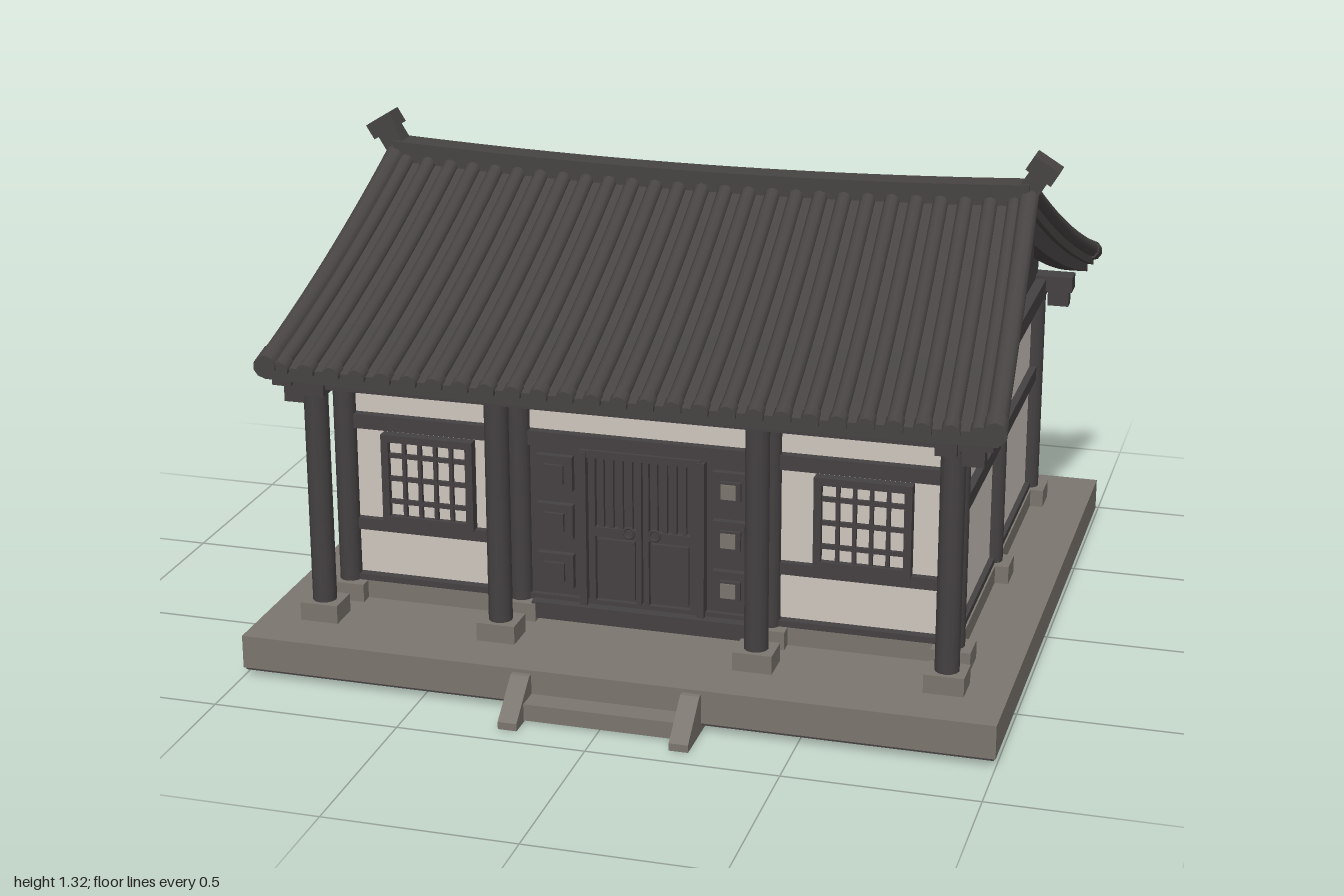
import * as THREE from 'three';

const mat = (name, color) => Object.assign(new THREE.MeshStandardMaterial({ color }), { name });

export function createModel() {
  const house = new THREE.Group();
  house.name = 'tiledHouse';
  const wood = mat('darkWood', 0x454142);
  const tile = mat('roofTile', 0x474443);
  const plaster = mat('plaster', 0xcfc6be);
  const stone = mat('stone', 0x7b766e);

  const add = (name, geo, material, parent = house) => {
    const m = new THREE.Mesh(geo, material);
    m.name = name;
    parent.add(m);
    return m;
  };
  // box given by its limits on each axis
  const box = (name, material, x0, x1, y0, y1, z0, z1, parent = house) => {
    const m = add(name, new THREE.BoxGeometry(x1 - x0, y1 - y0, z1 - z0), material, parent);
    m.position.set((x0 + x1) / 2, (y0 + y1) / 2, (z0 + z1) / 2);
    return m;
  };
  // side outline as [z, y] points, extruded across x
  const sidePlate = (name, material, points, x0, x1) => {
    const shape = new THREE.Shape(points.map(([z, y]) => new THREE.Vector2(z, y)));
    const geo = new THREE.ExtrudeGeometry(shape, { depth: x1 - x0, bevelEnabled: false });
    geo.rotateY(-Math.PI / 2).translate(x1, 0, 0);
    return add(name, geo, material);
  };

  // Platform and entrance step
  box('platform', stone, -1, 1, 0.025, 0.115, -0.93, 0.82);
  box('platformUnderside', wood, -0.995, 0.995, 0.018, 0.025, -0.925, 0.815);
  box('step', stone, -0.2, 0.2, 0.005, 0.05, 0.8, 0.885);
  for (const x of [-0.25, 0.2]) {
    sidePlate('stepCheek', stone, [[0.73, 0], [0.94, 0], [0.94, 0.02], [0.835, 0.105], [0.73, 0.105]], x, x + 0.05);
  }

  // Walls on a low stone footing
  box('footing', stone, -0.84, 0.84, 0.115, 0.165, -0.72, 0.49);
  box('plasterWalls', plaster, -0.82, 0.82, 0.165, 0.79, -0.7, 0.465);
  for (const z of [-0.71, 0.475]) {
    box('sill', wood, -0.83, 0.83, 0.165, 0.182, z - 0.015, z + 0.015);
    box('topBeam', wood, -0.84, 0.84, 0.75, 0.8, z - 0.025, z + 0.025);
  }
  box('backRail', wood, -0.83, 0.83, 0.5, 0.54, -0.725, -0.7);
  box('frontUpperRail', wood, -0.83, 0.83, 0.6, 0.64, 0.46, 0.49);
  for (const s of [-1, 1]) {
    const xs = (a, b) => (s > 0 ? [a, b] : [-b, -a]);
    box('sideSill', wood, ...xs(0.81, 0.835), 0.165, 0.182, -0.71, 0.48);
    box('sideRail', wood, ...xs(0.81, 0.84), 0.5, 0.54, -0.71, 0.48);
    box('sideTopBeam', wood, ...xs(0.8, 0.855), 0.75, 0.8, -0.75, 0.68);
    box('frontLowerRail', wood, ...xs(0.35, 0.83), 0.31, 0.342, 0.46, 0.485);
    // Gable boarding and posts
    const [g0, g1] = xs(0.79, 0.825);
    sidePlate('gable', wood, [[-0.74, 0.79], [0.66, 0.79], [0.66, 0.81], [0.5, 0.87], [0.2, 1.0],
      [-0.12, 1.13], [-0.44, 1.0], [-0.74, 0.87]], g0, g1);
    box('gableKingPost', wood, ...xs(0.8, 0.87), 0.79, 1.08, -0.14, -0.095);
    for (const z of [0.147, -0.387]) box('gablePost', wood, ...xs(0.81, 0.84), 0.79, 0.99, z - 0.025, z + 0.025);
    box('ridgePurlinEnd', wood, ...xs(0.8, 0.9), 1.03, 1.08, -0.145, -0.09);
  }

  // Columns on square plinths
  const column = (x, z, r = 0.032) => {
    const c = add('column', new THREE.CylinderGeometry(r, r, 0.62, 12), wood);
    c.position.set(x, 0.47, z);
    box('plinth', stone, x - 0.052, x + 0.052, 0.11, 0.165, z - 0.045, z + 0.045);
  };
  for (const x of [-0.84, -0.345, 0.345, 0.84]) {
    column(x, 0.635);
    column(x * 0.985, 0.48, 0.03);
    box('porchTie', wood, x - 0.02, x + 0.02, 0.75, 0.79, 0.48, 0.66);
  }
  for (const x of [-0.825, 0, 0.825]) column(x, -0.71, 0.03);
  for (const x of [-0.825, 0.825]) column(x, -0.11, 0.028);

  // Eave purlins with bracket ends
  for (const z of [0.635, -0.73]) {
    box('eavePurlin', wood, -0.93, 0.93, 0.765, 0.81, z - 0.03, z + 0.03);
    for (const x of [-0.89, 0.89]) box('purlinBracket', wood, x - 0.03, x + 0.03, 0.72, 0.77, z - 0.02, z + 0.02);
  }

  // Entrance: frame, double door and panelled flanks
  box('entranceBacking', wood, -0.32, 0.32, 0.165, 0.61, 0.46, 0.475);
  box('threshold', wood, -0.3, 0.3, 0.125, 0.17, 0.46, 0.52);
  box('doorHead', wood, -0.17, 0.16, 0.585, 0.605, 0.47, 0.5);
  for (const s of [-1, 1]) {
    const at = (name, material, c, w, y0, y1, z0, z1) => box(name, material, s * c - w / 2, s * c + w / 2, y0, y1, z0, z1);
    at('doorJamb', wood, 0.16, 0.02, 0.17, 0.6, 0.47, 0.505);
    at('doorStile', wood, 0.01, 0.014, 0.18, 0.585, 0.47, 0.492);
    at('doorStile', wood, 0.138, 0.018, 0.18, 0.585, 0.47, 0.492);
    at('doorLowerPanel', wood, 0.073, 0.1, 0.19, 0.355, 0.47, 0.485);
    at('doorMidRail', wood, 0.073, 0.13, 0.365, 0.39, 0.47, 0.492);
    for (let i = 0; i < 4; i++) at('doorSlat', wood, 0.034 + i * 0.026, 0.012, 0.39, 0.585, 0.47, 0.488);
    const ring = add('doorRing', new THREE.TorusGeometry(0.014, 0.004, 6, 14), wood);
    ring.position.set(s * 0.035, 0.385, 0.498);
    for (const y of [0.255, 0.395, 0.53]) {
      at('flankPanel', wood, 0.24, 0.1, y - 0.048, y + 0.048, 0.47, 0.495);
      at('flankPanelBoss', wood, 0.24, 0.055, y - 0.026, y + 0.026, 0.49, 0.505);
      if (s > 0) at('flankInlay', stone, 0.235, 0.04, y - 0.02, y + 0.02, 0.503, 0.509);
    }
  }

  // Lattice windows
  for (const cx of [-0.595, 0.585]) {
    const w = new THREE.Group();
    w.name = 'latticeWindow';
    w.position.set(cx, 0.465, 0.465);
    house.add(w);
    box('windowPaper', plaster, -0.12, 0.12, -0.115, 0.115, 0.005, 0.012, w);
    for (const s of [-1, 1]) {
      box('windowStile', wood, s * 0.118 - 0.01, s * 0.118 + 0.01, -0.125, 0.125, 0, 0.03, w);
      box('windowRail', wood, -0.128, 0.128, s * 0.115 - 0.01, s * 0.115 + 0.01, 0, 0.03, w);
    }
    for (const x of [-0.066, -0.022, 0.022, 0.066]) box('latticeUpright', wood, x - 0.005, x + 0.005, -0.11, 0.11, 0.005, 0.024, w);
    for (const y of [-0.065, 0, 0.065]) box('latticeBar', wood, -0.115, 0.115, y - 0.006, y + 0.006, 0.005, 0.022, w);
  }

  // Roof slope: s runs across (-1..1), t from ridge to eave (0..1)
  const roofPoint = (s, t) => new THREE.Vector3(
    s * (0.895 + 0.065 * t),
    1.205 - 0.475 * t + 0.09 * t * t - 0.025 * (1 - s * s) * (1 - 0.6 * t),
    0.82 * t);
  // slab bent to the slope, thinning toward the eave
  const slopeSlab = (s0, s1, top, bottom, thin, tEnd) => {
    const geo = new THREE.BoxGeometry(1, 1, 1, s1 - s0 > 0.5 ? 16 : 1, 1, 12);
    const p = geo.attributes.position;
    for (let i = 0; i < p.count; i++) {
      const t = (p.getZ(i) + 0.5) * tEnd;
      const v = roofPoint(s0 + (s1 - s0) * (p.getX(i) + 0.5), t);
      p.setXYZ(i, v.x, v.y + (p.getY(i) > 0 ? top : bottom) * (1 - thin * t), v.z);
    }
    geo.computeVertexNormals();
    return geo;
  };
  // round tile row bent to the slope
  const tileRow = (s, r, t0, t1, lift) => {
    const geo = new THREE.CylinderGeometry(r, r, 1, 10, 12);
    const p = geo.attributes.position;
    for (let i = 0; i < p.count; i++) {
      const v = roofPoint(s, t0 + (p.getY(i) + 0.5) * (t1 - t0));
      p.setXYZ(i, v.x + p.getX(i), v.y + lift - p.getZ(i), v.z);
    }
    geo.computeVertexNormals();
    return geo;
  };
  for (const turn of [0, Math.PI]) {
    const slope = new THREE.Group();
    slope.name = turn ? 'backSlope' : 'frontSlope';
    slope.position.z = -0.12;
    slope.rotation.y = turn;
    house.add(slope);
    add('roofDeck', slopeSlab(-1, 1, 0, -0.045, 0.2, 0.985), tile, slope);
    const rows = 27;
    for (let i = 0; i < rows; i++) {
      const s = -0.95 + (1.9 * i) / (rows - 1);
      add('tileRow', tileRow(s, 0.021, 0, 0.995, 0.002), tile, slope);
      add('eaveTile', tileRow(s, 0.024, 0.96, 1, -0.001), tile, slope);
    }
    for (const s of [-1, 1]) {
      add('vergeTile', tileRow(s * 0.99, 0.027, 0, 1, 0.01), tile, slope);
      add('vergeEndTile', tileRow(s * 0.99, 0.031, 0.95, 1.005, 0.008), tile, slope);
      const [a, b] = s > 0 ? [0.93, 0.985] : [-0.985, -0.93];
      add('bargeboard', slopeSlab(a, b, -0.03, -0.115, 0.5, 0.97), wood, slope);
    }
  }

  // Sagging ridge with upturned ends
  const ridgeGeo = new THREE.BoxGeometry(1.78, 0.085, 0.075, 24, 1, 1);
  const rp = ridgeGeo.attributes.position;
  for (let i = 0; i < rp.count; i++) rp.setY(i, rp.getY(i) + 0.025 * (rp.getX(i) / 0.89) ** 2);
  ridgeGeo.computeVertexNormals();
  add('ridge', ridgeGeo, tile).position.set(0, 1.172, -0.12);
  for (const s of [-1, 1]) {
    const end = new THREE.Group();
    end.name = 'ridgeEnd';
    end.position.set(s * 0.875, 1.2, -0.12);
    end.rotation.z = -s * 0.55;
    house.add(end);
    box('ridgeHorn', tile, -0.028, 0.028, -0.05, 0.09, -0.028, 0.028, end);
    box('ridgeHornCap', tile, -0.04, 0.04, 0.07, 0.115, -0.034, 0.034, end);
  }
  return house;
}
